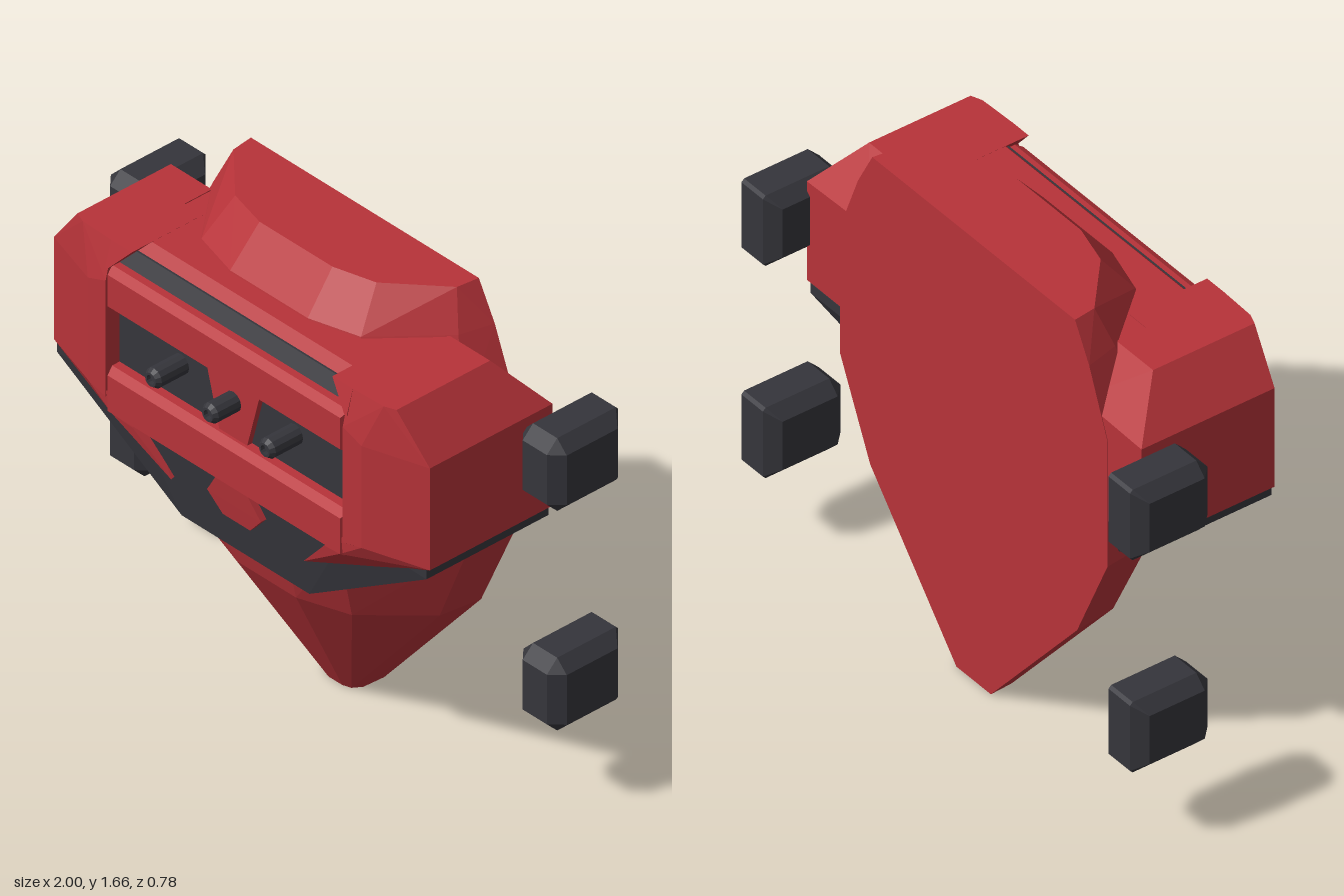
import * as THREE from 'three';
import { ConvexGeometry } from 'three/addons/geometries/ConvexGeometry.js';

const red = new THREE.MeshStandardMaterial({ name: 'red armour', color: 0xb73339 });
const dark = new THREE.MeshStandardMaterial({ name: 'dark grey', color: 0x35353b });

const v = (p) => new THREE.Vector3(...p);
const flip = ([x, y, z]) => [-x, y, z];

export function createModel() {
  const model = new THREE.Group();
  model.name = 'chestArmour';

  const add = (name, geometry, material) => {
    const mesh = new THREE.Mesh(geometry, material);
    mesh.name = name;
    model.add(mesh);
    return mesh;
  };
  // faceted solid around a few corner points
  const solid = (name, points, material) => add(name, new ConvexGeometry(points.map(v)), material);
  // solid symmetric about x = 0, given its left half
  const symmetric = (name, half, material) => solid(name, [...half, ...half.map(flip)], material);
  // a left and a right copy
  const pair = (name, points, material) => {
    solid(name + 'Left', points, material);
    solid(name + 'Right', points.map(flip), material);
  };

  // tapered shell with a flat back: [y, then x, z corners from back to front]
  const sections = [
    [0, [0.085, -0.25], [0.08, -0.17], [0.06, -0.14], [0.03, -0.13]],
    [0.5, [0.51, -0.25], [0.49, -0.1], [0.31, 0.09], [0.13, 0.15]],
    [0.83, [0.66, -0.25], [0.64, -0.08], [0.37, 0.2], [0.17, 0.25]],
    [1.3, [0.66, -0.25], [0.62, -0.08], [0.39, 0.15], [0.18, 0.2]],
    [1.53, [0.57, -0.25], [0.54, -0.13], [0.35, 0.09], [0.17, 0.14]],
    [1.66, [0.5, -0.25], [0.49, -0.17], [0.31, -0.01], [0.16, 0.03]],
  ];
  symmetric('shell', sections.flatMap(([y, ...pts]) => pts.map(([x, z]) => [x, y, z])), red);

  // chest block between the shoulders
  symmetric('chestBlock', [
    [0.53, 0.97, -0.1], [0.53, 1.525, -0.1], [0.53, 1.525, 0.205],
    [0.53, 1.49, 0.235], [0.53, 0.97, 0.235],
  ], red);
  symmetric('upperTrim', [
    [0.53, 1.492, 0.2], [0.53, 1.492, 0.24], [0.53, 1.44, 0.272], [0.53, 1.42, 0.272], [0.53, 1.42, 0.2],
  ], dark);
  symmetric('frontPanel', [
    [0.53, 1.04, 0.2], [0.53, 1.33, 0.2], [0.53, 1.33, 0.265], [0.53, 1.04, 0.265],
  ], dark);

  // horizontal bars with bevelled edges
  for (const [name, y0, y1] of [['upperBar', 1.295, 1.445], ['lowerBar', 0.915, 1.08]]) {
    const c = 0.018;
    symmetric(name, [
      [0.52, y0, 0.22], [0.52, y1, 0.22], [0.52, y0, 0.295], [0.52, y1, 0.295],
      [0.51, y0 + c, 0.323], [0.51, y1 - c, 0.323],
    ], red);
  }

  // keystone between the bars
  symmetric('keystone', [0.25, 0.285].flatMap((z) => [
    [0.06, 1.075, z], [0.115, 1.28, z], [0.06, 1.297, z],
  ]), red);

  // pegs with bevelled tips
  const pegProfile = [[0.035, 0], [0.035, 0.125], [0.024, 0.14], [0.016, 0.14], [0.016, 0.125], [0, 0.125]];
  for (const x of [-0.25, 0, 0.25]) {
    const geometry = new THREE.LatheGeometry(pegProfile.map(([r, h]) => new THREE.Vector2(r, h)), 12)
      .toNonIndexed();
    geometry.computeVertexNormals();
    geometry.rotateX(Math.PI / 2);
    add('peg', geometry, dark).position.set(x, 1.21, 0.25);
  }

  // dark skirt below the shoulders
  symmetric('skirt', [
    [0.81, 0.995, -0.246], [0.81, 0.96, -0.246], [0.81, 0.995, 0.25], [0.81, 0.96, 0.25],
    [0.64, 0.858, -0.17], [0.28, 0.63, -0.1], [0.28, 0.63, 0.235], [0.5, 0.995, 0.28],
  ], dark);

  // hexagonal boss on the skirt
  symmetric('boss', [
    [0.06, 0.92, 0.295], [0.118, 0.83, 0.282], [0.06, 0.765, 0.272],
    [0.06, 0.92, 0.22], [0.118, 0.83, 0.22], [0.06, 0.765, 0.22],
  ], red);

  // shoulder blocks
  pair('shoulder', [
    [0.52, 1.528, 0.29], [0.66, 1.528, 0.285], [0.7, 1.528, 0.27],
    [0.7, 1.528, -0.11], [0.52, 1.528, -0.11],
    [0.825, 1.37, 0.25], [0.825, 1.0, 0.25], [0.825, 1.37, -0.248], [0.825, 1.0, -0.248],
    [0.6, 1.37, 0.32], [0.6, 1.0, 0.32], [0.52, 1.4, 0.322], [0.52, 0.98, 0.322],
    [0.52, 1.38, -0.248], [0.52, 1.0, -0.248],
  ], red);
  pair('shoulderInnerCorner', [
    [0.44, 1.528, 0.29], [0.53, 1.528, 0.29], [0.52, 1.44, 0.315], [0.53, 1.44, 0.315],
    [0.44, 1.528, 0.0], [0.53, 1.528, 0.0], [0.52, 1.44, 0.0], [0.53, 1.44, 0.0],
  ], red);

  // pointed lower flaps reaching across the skirt
  pair('shoulderFlap', [
    [0.825, 1.0, 0.25], [0.6, 1.0, 0.32], [0.52, 1.0, 0.32], [0.5, 0.925, 0.315],
    [0.42, 0.91, 0.305], [0.29, 0.77, 0.268],
    [0.8, 1.0, 0.2], [0.5, 0.96, 0.2], [0.42, 0.91, 0.22], [0.3, 0.775, 0.22],
  ], red);

  // four bevelled side pods
  const c = 0.042, hx = 0.095, hy = 0.132, hz = 0.145;
  const podPoints = [];
  for (const sx of [-1, 1]) for (const sy of [-1, 1]) {
    podPoints.push(
      [sx * hx, sy * (hy - c), hz - c], [sx * hx, sy * (hy - c), -hz + c],
      [sx * (hx - c), sy * hy, hz - c], [sx * (hx - c), sy * (hy - c), hz],
      [sx * (hx - c), sy * hy, -hz + 0.01], [sx * (hx - c), sy * (hy - 0.01), -hz],
    );
  }
  for (const sx of [-1, 1]) for (const y of [0.433, 1.23]) {
    solid('sidePod', podPoints, dark).position.set(sx * 0.905, y, -0.247);
  }

  return model;
}
